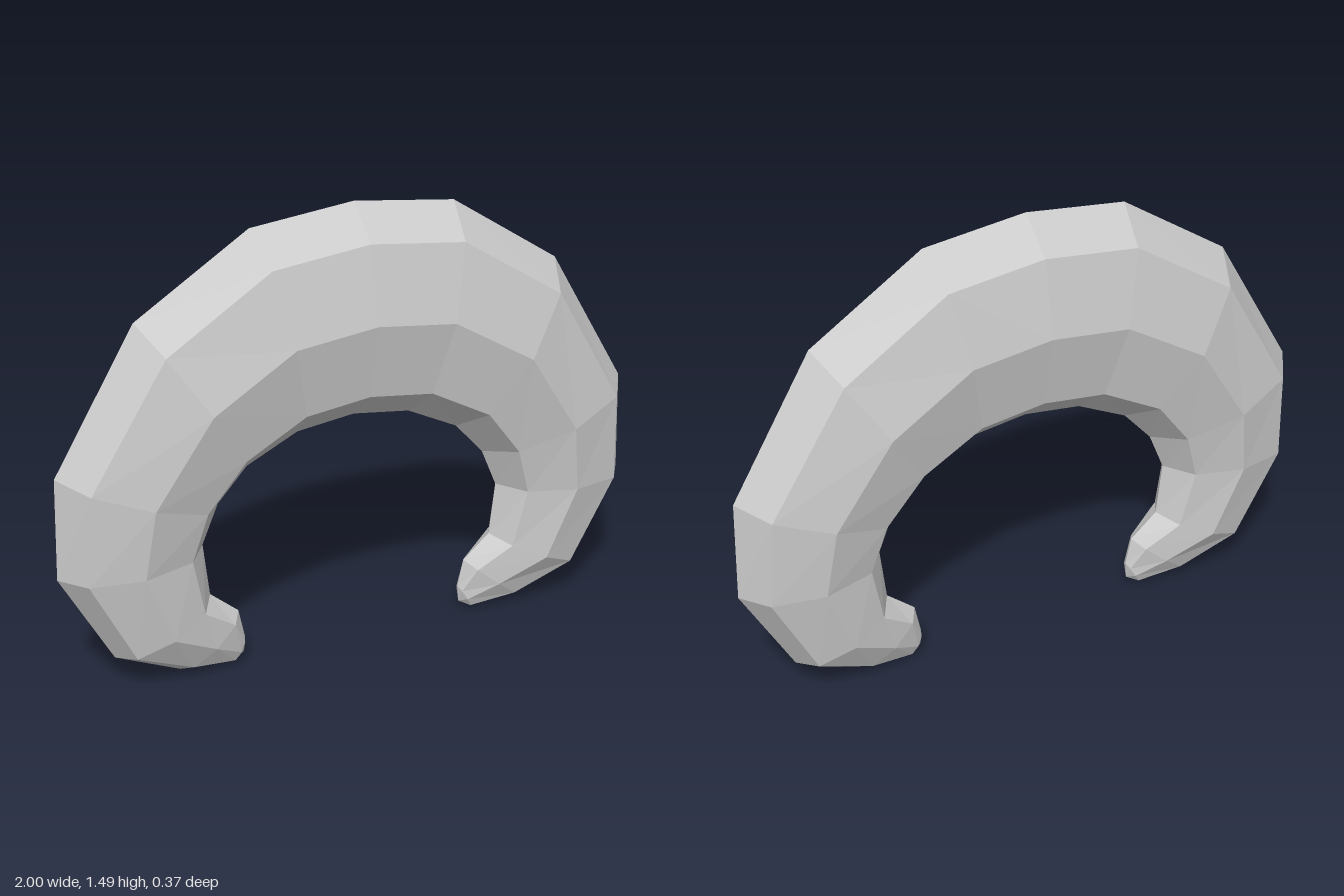
import * as THREE from 'three';

// Half of the crescent, from the middle to one tip:
// [outer x, outer y, inner x, inner y, half thickness in z]
const HALF = [
  [0, 1.49, 0, 0.79, 0.175],
  [0.345, 1.45, 0.195, 0.765, 0.175],
  [0.72, 1.21, 0.37, 0.68, 0.185],
  [0.99, 0.755, 0.47, 0.57, 0.162],
  [1.0, 0.42, 0.525, 0.44, 0.138],
  [0.83, 0.11, 0.505, 0.26, 0.115],
  [0.615, 0.015, 0.41, 0.18, 0.07],
  [0.44, 0.0, 0.39, 0.085, 0.03],
];
const TIP = [0.394, 0.028];
const SIDES = 8;

// Octagonal cross-section spanning from the outer rim to the inner rim
function ring([ox, oy, ix, iy, depth]) {
  return Array.from({ length: SIDES }, (_, i) => {
    const a = (i / SIDES) * Math.PI * 2;
    const t = (1 - Math.cos(a)) / 2;
    return [ox + (ix - ox) * t, oy + (iy - oy) * t, Math.sin(a) * depth];
  });
}

function crescentGeometry() {
  const mirrored = HALF.slice(1).reverse().map(([ox, oy, ix, iy, d]) => [-ox, oy, -ix, iy, d]);
  const rings = [...mirrored, ...HALF].map(ring);
  const last = rings.length - 1;
  const positions = rings.flat(2);
  const index = [];

  // Skin between neighbouring cross-sections
  for (let s = 0; s < last; s++) {
    for (let i = 0; i < SIDES; i++) {
      const j = (i + 1) % SIDES;
      const a = s * SIDES + i, d = s * SIDES + j;
      const b = a + SIDES, c = d + SIDES;
      index.push(a, d, c, a, c, b);
    }
  }

  // Small pointed caps on both tips
  const leftTip = rings.length * SIDES;
  positions.push(-TIP[0], TIP[1], 0, TIP[0], TIP[1], 0);
  for (let i = 0; i < SIDES; i++) {
    const j = (i + 1) % SIDES;
    index.push(leftTip, j, i);
    index.push(leftTip + 1, last * SIDES + i, last * SIDES + j);
  }

  const geometry = new THREE.BufferGeometry();
  geometry.setAttribute('position', new THREE.Float32BufferAttribute(positions, 3));
  geometry.setIndex(index);
  const faceted = geometry.toNonIndexed();
  faceted.computeVertexNormals();
  return faceted;
}

export function createModel() {
  const group = new THREE.Group();
  group.name = 'crescentRoll';
  const material = new THREE.MeshStandardMaterial({ color: 0xcccccc, flatShading: true });
  const body = new THREE.Mesh(crescentGeometry(), material);
  body.name = 'crescentBody';
  group.add(body);
  return group;
}
